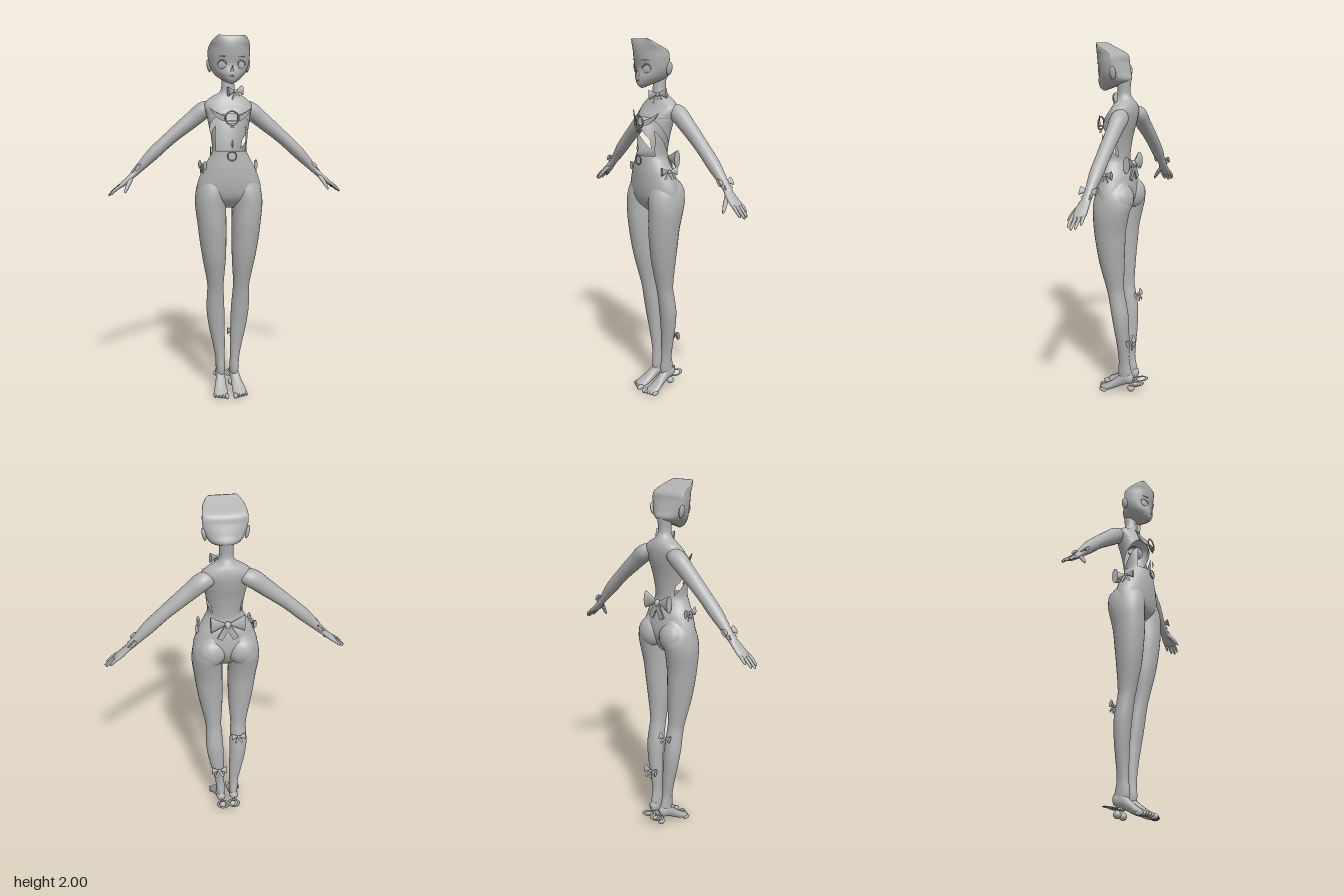
import * as THREE from 'three';
import { mergeVertices, mergeGeometries } from 'three/addons/utils/BufferGeometryUtils.js';

const grey = new THREE.MeshStandardMaterial({ color: 0xb2b2b2, side: THREE.DoubleSide });
grey.name = 'grey';
const PI = Math.PI;

function mesh(name, geometry, x = 0, y = 0, z = 0) {
  const m = new THREE.Mesh(geometry, grey);
  m.name = name;
  m.position.set(x, y, z);
  return m;
}

// Surface from a rule f(u, v) -> [x, y, z], seams welded for smooth normals
function surface(f, nu, nv) {
  const pos = [], idx = [];
  for (let j = 0; j <= nv; j++) for (let i = 0; i <= nu; i++) pos.push(...f(i / nu, j / nv));
  for (let j = 0; j < nv; j++) for (let i = 0; i < nu; i++) {
    const a = j * (nu + 1) + i, b = a + nu + 1;
    idx.push(a, a + 1, b, a + 1, b + 1, b);
  }
  let g = new THREE.BufferGeometry();
  g.setAttribute('position', new THREE.Float32BufferAttribute(pos, 3));
  g.setIndex(idx);
  g = mergeVertices(g, 1e-5);
  g.computeVertexNormals();
  return g;
}

// Smooth interpolation of rows by their first value
function sample(rows, k) {
  let i = 0;
  while (i < rows.length - 2 && k > rows[i + 1][0]) i++;
  const p = rows[Math.max(i - 1, 0)], a = rows[i], b = rows[i + 1], q = rows[Math.min(i + 2, rows.length - 1)];
  const h = b[0] - a[0], t = (k - a[0]) / h;
  return a.map((av, c) => {
    const m0 = (b[c] - p[c]) / (b[0] - p[0]) * h, m1 = (q[c] - av) / (q[0] - a[0]) * h;
    const t2 = t * t, t3 = t2 * t;
    return (2 * t3 - 3 * t2 + 1) * av + (t3 - 2 * t2 + t) * m0 + (3 * t2 - 2 * t3) * b[c] + (t3 - t2) * m1;
  });
}

// Body section at height y; rows are [y, xCentre, halfWidth, zFront, zBack]
function ringPoint(rows, y, t) {
  const [, xc, w, zf, zb] = sample(rows, y);
  return [xc + w * Math.sin(t), y, (zf + zb) / 2 + (zf - zb) / 2 * Math.cos(t)];
}
const loft = (rows, y0, y1, nu = 32, nv = 40) =>
  surface((u, v) => ringPoint(rows, y0 + (y1 - y0) * v, u * 2 * PI), nu, nv);

// Tapered limb along points [x, y, z, radius, zRadius]
function limb(pts, nu = 14, nv = 14) {
  const curve = new THREE.CatmullRomCurve3(pts.map(p => new THREE.Vector3(p[0], p[1], p[2])));
  const rows = pts.map((p, i) => [i / (pts.length - 1), p[3], p[4] ?? p[3]]);
  return surface((u, v) => {
    const c = curve.getPoint(v), T = curve.getTangent(v), [, r, rz] = sample(rows, v);
    const N = new THREE.Vector3(-T.y, T.x, 0).normalize(), B = new THREE.Vector3().crossVectors(T, N);
    return c.addScaledVector(N, r * Math.cos(u * 2 * PI)).addScaledVector(B, rz * Math.sin(u * 2 * PI)).toArray();
  }, nu, nv);
}

const ball = (rx, ry, rz) => new THREE.SphereGeometry(1, 18, 12).scale(rx, ry, rz);

// Ribbon bow, one unit wide, facing +z
function bow(name, size, x, y, z, ry = 0, rz = 0, rx = 0) {
  const parts = [ball(0.1, 0.12, 0.1)];
  for (const s of [-1, 1]) {
    parts.push(new THREE.ConeGeometry(0.27, 0.5, 10).rotateZ(s * PI / 2).scale(1, 1, 0.4).translate(s * 0.25, 0.04, 0));
    parts.push(new THREE.BoxGeometry(0.17, 0.5, 0.04).translate(0, -0.25, 0).rotateZ(s * 0.5).translate(0, 0, 0.04));
  }
  const m = mesh(name, mergeGeometries(parts), x, y, z);
  m.scale.setScalar(size);
  m.rotation.set(rx, ry, rz, 'YXZ');
  return m;
}

const torsoRows = [
  [1.09, 0, 0.06, 0.06, -0.02], [1.14, 0, 0.16, 0.105, -0.055], [1.2, 0, 0.178, 0.122, -0.075],
  [1.3, 0, 0.146, 0.126, -0.065], [1.36, 0, 0.112, 0.123, -0.045], [1.4, 0, 0.094, 0.12, -0.04],
  [1.5, 0, 0.104, 0.11, -0.052], [1.6, 0, 0.122, 0.09, -0.075], [1.65, 0, 0.13, 0.055, -0.08],
  [1.685, 0, 0.095, 0.036, -0.074], [1.71, 0, 0.05, 0.03, -0.062], [1.74, 0, 0.036, 0.025, -0.047],
  [1.81, 0, 0.037, 0.02, -0.05]];
const legRows = [
  [0.07, 0.04, 0.02, -0.01, -0.075], [0.12, 0.04, 0.026, 0.005, -0.08], [0.2, 0.043, 0.027, 0, -0.064],
  [0.3, 0.052, 0.037, 0.005, -0.066], [0.4, 0.064, 0.046, 0.015, -0.068], [0.5, 0.071, 0.051, 0.029, -0.066],
  [0.6, 0.073, 0.047, 0.045, -0.05], [0.65, 0.074, 0.046, 0.056, -0.042], [0.8, 0.083, 0.065, 0.092, -0.046],
  [0.9, 0.09, 0.074, 0.108, -0.052], [1, 0.096, 0.08, 0.119, -0.06], [1.1, 0.102, 0.085, 0.122, -0.08],
  [1.16, 0.099, 0.085, 0.121, -0.093], [1.22, 0.088, 0.082, 0.108, -0.083], [1.29, 0.07, 0.05, 0.08, -0.05]];

// Angle around the torso at which the surface reaches depth z
function angleAt(y, z) {
  const [, , , zf, zb] = sample(torsoRows, y);
  return Math.acos(THREE.MathUtils.clamp((z - (zf + zb) / 2) / ((zf - zb) / 2), -1, 1));
}

function torso(g) {
  g.add(mesh('hips', loft(torsoRows, 1.09, 1.4)));
  g.add(mesh('shouldersAndNeck', loft(torsoRows, 1.6, 1.81)));
  // Back shell, open at the front along a diagonal
  g.add(mesh('back', surface((u, v) => {
    const y = 1.4 + 0.2 * v, a = angleAt(y, Math.max(-0.01, 0.09 - (1.6 - y) * 0.72));
    return ringPoint(torsoRows, y, a + (2 * PI - 2 * a) * u);
  }, 32, 24)));
  // Small panels at the sides of the waist
  for (const s of [-1, 1]) g.add(mesh('sidePanel', surface((u, v) => {
    const y = 1.4 + 0.135 * v, a = angleAt(y, 0.08), b = angleAt(y, Math.min(0.08, -0.01 + (y - 1.41) * 0.72));
    return ringPoint(torsoRows, y, s * (a + (b - a) * u));
  }, 8, 10)));
}

function head(g) {
  // Face and slanted skull cut; rows are [y, halfWidth, zFront, zBack, zWidest]
  const rows = [
    [1.752, 0.004, 0.108, 0.095, 0.1], [1.765, 0.03, 0.123, 0.06, 0.085], [1.79, 0.065, 0.13, -0.01, 0.045],
    [1.81, 0.084, 0.13, -0.048, 0.03], [1.85, 0.104, 0.122, -0.036, 0.02], [1.9, 0.113, 0.13, -0.016, 0.012],
    [1.94, 0.112, 0.134, 0, 0.02], [1.97, 0.102, 0.132, 0.06, 0.07], [1.995, 0.08, 0.124, 0.108, 0.112],
    [2, 0.07, 0.12, 0.115, 0.118]];
  g.add(mesh('head', surface((u, v) => {
    const y = 1.752 + 0.248 * v, [, w, zf, zb, zc] = sample(rows, y), c = Math.cos(u * 2 * PI);
    return [w * Math.sin(u * 2 * PI), y, zc + c * (c > 0 ? zf - zc : zc - zb)];
  }, 40, 36)));
  const nose = mesh('nose', new THREE.ConeGeometry(0.012, 0.035, 8).rotateX(0.5), 0, 1.832, 0.131);
  const mouth = mesh('mouth', ball(0.014, 0.003, 0.004), 0, 1.793, 0.13);
  g.add(nose, mouth);
  for (const s of [-1, 1]) {
    const eye = mesh('eye', ball(0.022, 0.019, 0.004), s * 0.052, 1.848, 0.109);
    const lash = mesh('upperLash', new THREE.TorusGeometry(0.025, 0.003, 6, 14, PI), s * 0.052, 1.85, 0.112);
    const brow = mesh('eyebrow', ball(0.024, 0.002, 0.003), s * 0.052, 1.893, 0.119);
    for (const m of [eye, lash, brow]) m.rotation.y = s * 0.5;
    const ear = mesh('ear', ball(0.01, 0.034, 0.018), s * 0.107, 1.85, 0.005);
    ear.rotation.z = -s * 0.2;
    g.add(ear, eye, lash, brow);
  }
}

// One arm and leg on +x, mirrored for the other side
function side(s) {
  const g = new THREE.Group();
  g.name = s > 0 ? 'leftLimbs' : 'rightLimbs';
  g.scale.x = s;
  g.add(mesh('arm', limb([[0.07, 1.63, -0.035, 0.03], [0.12, 1.62, -0.04, 0.047], [0.2, 1.56, -0.043, 0.044, 0.04],
    [0.32, 1.462, -0.045, 0.036], [0.41, 1.38, -0.045, 0.034], [0.48, 1.31, -0.045, 0.024], [0.525, 1.265, -0.044, 0.018, 0.024]], 24, 36)));
  g.add(mesh('palm', limb([[0.505, 1.283, -0.045, 0.016, 0.022], [0.545, 1.245, -0.04, 0.015, 0.032],
    [0.585, 1.212, -0.04, 0.013, 0.036], [0.605, 1.198, -0.04, 0.004, 0.028]])));
  [[-0.068, 0.625, 1.178], [-0.05, 0.648, 1.163], [-0.03, 0.655, 1.158], [-0.01, 0.645, 1.165]].forEach(([z, x, y]) =>
    g.add(mesh('finger', limb([[0.58, 1.217, z * 0.9 - 0.004, 0.009], [(0.58 + x) / 2, (1.217 + y) / 2 + 0.003, z, 0.0085],
      [x - 0.004, y + 0.003, z, 0.006], [x, y, z, 0.001]], 8, 8))));
  g.add(mesh('thumb', limb([[0.53, 1.25, -0.025, 0.012], [0.55, 1.215, 0.005, 0.011], [0.563, 1.185, 0.026, 0.007], [0.566, 1.175, 0.034, 0.001]], 8, 8)));
  g.add(mesh('leg', loft(legRows, 0.07, 1.29, 28, 60)));
  g.add(mesh('buttock', ball(0.08, 0.085, 0.065), 0.082, 1.185, -0.034));
  // Foot on raised heel; rows are [z, xCentre, halfWidth, yTop, yBottom]
  const foot = [[-0.09, 0.04, 0.003, 0.102, 0.095], [-0.078, 0.04, 0.024, 0.13, 0.07], [-0.03, 0.042, 0.026, 0.13, 0.052],
    [0.02, 0.047, 0.031, 0.088, 0.025], [0.06, 0.053, 0.039, 0.056, 0.008], [0.09, 0.054, 0.037, 0.038, 0.008], [0.11, 0.053, 0.02, 0.026, 0.01]];
  g.add(mesh('foot', surface((u, v) => {
    const [z, xc, w, a, b] = sample(foot, -0.09 + 0.2 * v);
    return [xc + w * Math.cos(u * 2 * PI), (a + b) / 2 + (a - b) / 2 * Math.sin(u * 2 * PI), z];
  }, 20, 20)));
  for (let i = 0; i < 5; i++)
    g.add(mesh('toe', ball(i ? 0.0085 : 0.012, i ? 0.012 : 0.015, 0.024), 0.024 + i * 0.0165, 0.016, 0.108 - i * 0.006));
  // Paired bows
  g.add(bow('wristBow', 0.09, 0.495, 1.31, -0.045, PI / 2, 0, -0.7));
  g.add(bow('hipBow', 0.09, 0.148, 1.32, 0.035, PI / 2 - 0.2));
  // Flat ribbon loop and bell behind the heels
  const loop = mesh('heelLoop', new THREE.TorusGeometry(0.03, 0.008, 6, 24).scale(1, 1.15, 0.4).rotateX(PI / 2 + 0.17), 0.034, 0.068, -0.108);
  g.add(loop, mesh('bell', ball(0.021, 0.021, 0.021), 0.03, 0.03, -0.07));
  // Chest wing plate
  const wing = new THREE.Shape();
  wing.moveTo(0.03, -0.015);
  wing.quadraticCurveTo(0.08, -0.02, 0.125, 0.055);
  wing.quadraticCurveTo(0.08, 0.02, 0.03, 0.012);
  const plate = mesh('chestWing', new THREE.ExtrudeGeometry(wing, { depth: 0.005, bevelEnabled: false }), 0, 1.575, 0.13);
  plate.rotation.y = 0.45;
  g.add(plate);
  return g;
}

export function createModel() {
  const model = new THREE.Group();
  model.name = 'figure';
  torso(model);
  head(model);
  model.add(side(1), side(-1));

  // Single bows
  model.add(bow('neckBow', 0.1, 0.035, 1.715, 0.025, 0.5, 0.1));
  model.add(bow('waistBow', 0.18, 0, 1.365, -0.065, PI));
  model.add(bow('kneeBow', 0.08, -0.065, 0.59, -0.075, PI, 0, -0.3));
  model.add(bow('calfBow', 0.09, 0.052, 0.335, -0.08, PI, 0, -0.3));

  // Front ornaments
  model.add(mesh('chestRing', new THREE.TorusGeometry(0.036, 0.004, 6, 28), 0, 1.575, 0.126));
  for (let i = 0; i < 3; i++)
    model.add(mesh('chestBar', new THREE.BoxGeometry(0.055 - i * 0.015, 0.005, 0.006), 0, 1.56 - i * 0.016, 0.13));
  model.add(mesh('bellyDiamond', new THREE.OctahedronGeometry(1).scale(0.01, 0.024, 0.004), 0, 1.44, 0.134));
  model.add(mesh('bellyRing', new THREE.TorusGeometry(0.024, 0.003, 6, 24), 0, 1.375, 0.13));
  return model;
}
